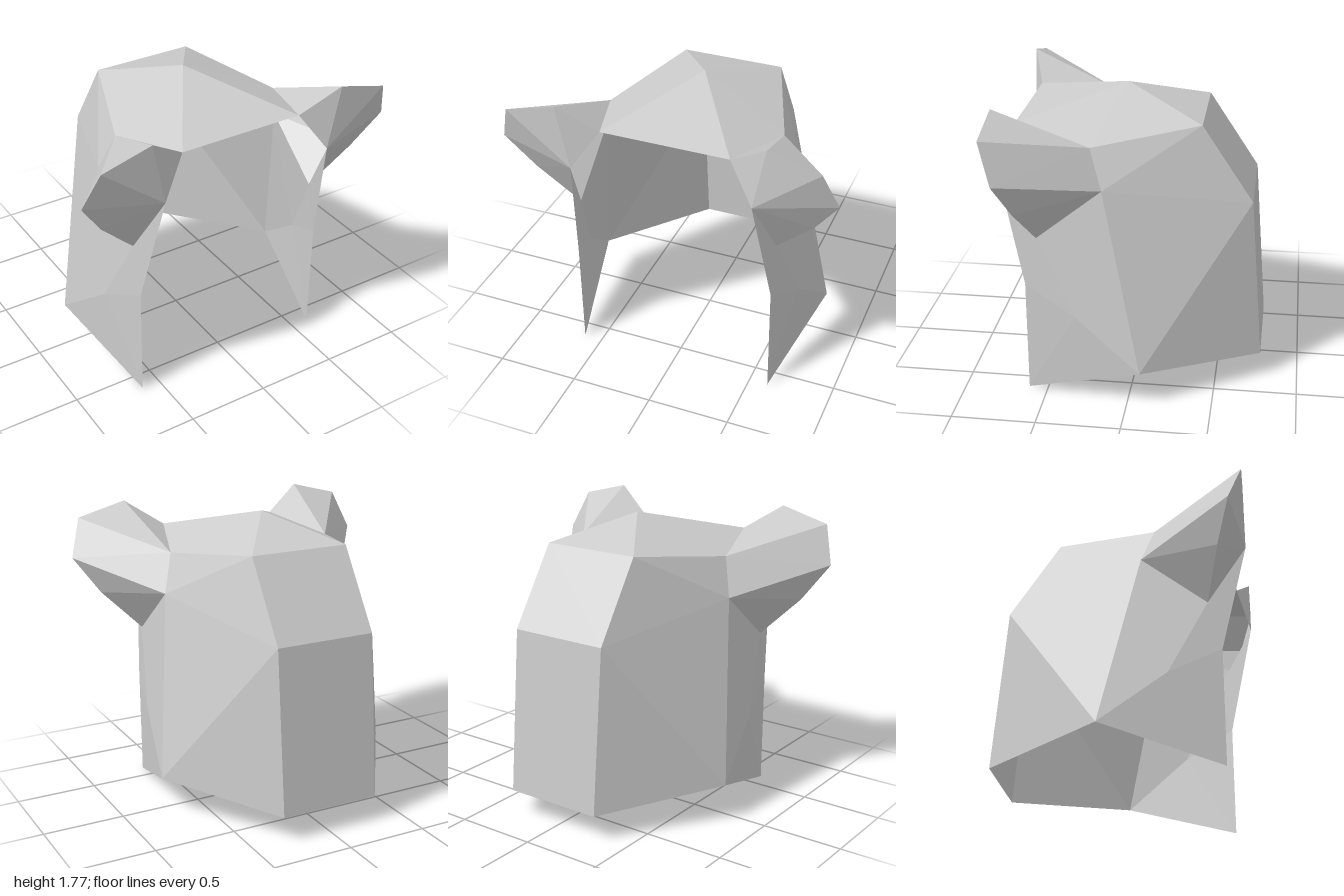
import * as THREE from 'three';

// Corner points of the left (+x) half; the right half is mirrored
const P = {
  peak: [0, 1.77, 0.08],
  brow: [0.385, 1.615, 0.69],
  crownSide: [0.54, 1.54, 0.23],
  crownBack: [0.31, 1.62, -0.385],
  nape: [0.31, 1.16, -0.69],
  backHem: [0.31, 0.16, -0.77],
  sideHem: [0.77, 0.23, -0.08],
  frontHem: [0.615, 0, 0.615],
  cheek: [0.615, 0.7, 0.615],
  flap: [0.69, 0.54, 0.31],
  temple: [0.615, 1.31, 0.155],
  earInner: [0.54, 1.39, 0.77],
  earTop: [0.615, 1.77, 0.77],
  earCorner: [0.92, 1.69, 0.77],
  earTip: [1, 1.46, 0.69],
  earLower: [0.85, 1.24, 0.615],
  earBase: [0.615, 1, 0.54],
};

const mirror = ([x, y, z]) => [-x, y, z];
const half = (names) => names.split(' ').map((n) => P[n]);
const bothSides = (tris) => tris.flatMap((t) => [half(t), half(t).map(mirror)]);

// Faceted surface whose triangles all face away from a centre point
function facets(name, tris, centre, material) {
  const pos = [];
  for (const tri of tris) {
    const [a, b, c] = tri.map((p) => new THREE.Vector3(...p));
    const normal = b.clone().sub(a).cross(c.clone().sub(a));
    const out = a.clone().add(b).add(c).divideScalar(3).sub(centre);
    const ordered = normal.dot(out) < 0 ? [a, c, b] : [a, b, c];
    ordered.forEach((v) => pos.push(v.x, v.y, v.z));
  }
  const geometry = new THREE.BufferGeometry();
  geometry.setAttribute('position', new THREE.Float32BufferAttribute(pos, 3));
  geometry.computeVertexNormals();
  const mesh = new THREE.Mesh(geometry, material);
  mesh.name = name;
  return mesh;
}

export function createModel() {
  const group = new THREE.Group();
  group.name = 'earedHood';
  const cloth = new THREE.MeshStandardMaterial({ color: 0xcccccc });
  cloth.name = 'light grey cloth';
  cloth.side = THREE.DoubleSide;
  cloth.flatShading = true;
  const middle = new THREE.Vector3(0, 0.9, 0);

  // Crown: a fan around the peak
  const crown = bothSides(['peak brow crownSide', 'peak crownSide crownBack']);
  crown.push([P.peak, P.brow, mirror(P.brow)], [P.peak, P.crownBack, mirror(P.crownBack)]);
  group.add(facets('crown', crown, middle, cloth));

  // Back: two flat panels down the centre
  const back = [];
  for (const [u, l] of [[P.crownBack, P.nape], [P.nape, P.backHem]]) {
    back.push([u, l, mirror(l)], [u, mirror(l), mirror(u)]);
  }
  group.add(facets('backPanel', back, middle, cloth));

  // Sides with the hanging flaps
  const sides = bothSides([
    'crownSide crownBack temple', 'temple crownBack nape',
    'temple nape sideHem', 'nape backHem sideHem',
    'temple sideHem flap', 'temple flap earBase', 'earBase flap cheek',
    'cheek flap frontHem', 'flap sideHem frontHem', 'earInner earBase cheek',
  ]);
  group.add(facets('sidePanels', sides, middle, cloth));

  // Ears: a front fan around the inner corner and a tapering back
  const rim = ['brow', 'earTop', 'earCorner', 'earTip', 'earLower', 'earBase'];
  const ear = rim.slice(1).map((n, i) => `earInner ${rim[i]} ${n}`);
  ear.push('crownSide brow earTop', 'crownSide earTop earCorner',
    'crownSide earCorner earTip', 'crownSide earTip temple',
    'temple earTip earLower', 'temple earLower earBase');
  for (const [name, flip, x] of [['leftEar', (p) => p, 0.65], ['rightEar', mirror, -0.65]]) {
    const tris = ear.map((t) => half(t).map(flip));
    group.add(facets(name, tris, new THREE.Vector3(x, 1.42, 0.5), cloth));
  }
  return group;
}
